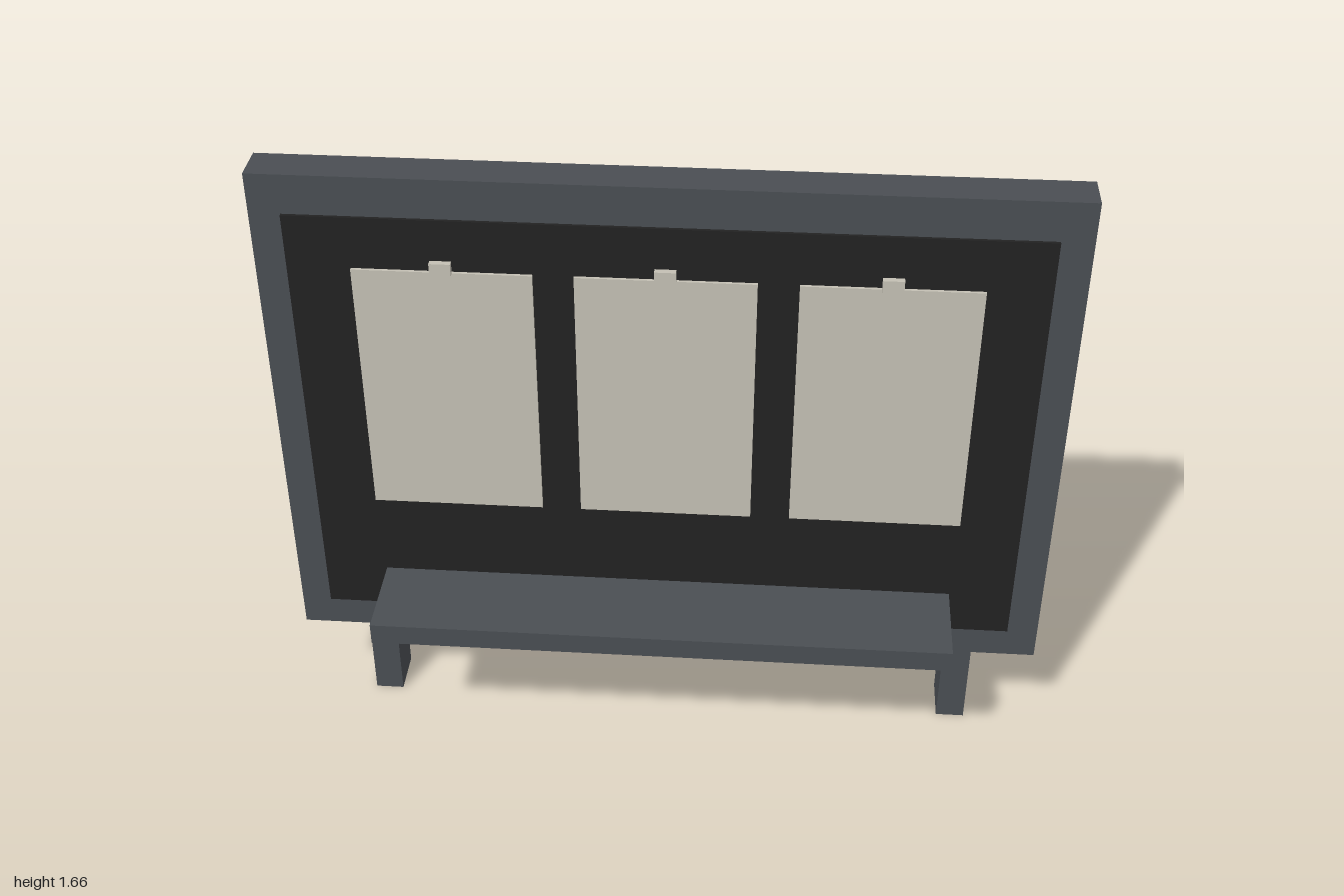
import * as THREE from 'three';

export function createModel() {
  const model = new THREE.Group();
  model.name = 'noticeBoard';

  const material = (name, color) => {
    const m = new THREE.MeshStandardMaterial({ color });
    m.name = name;
    return m;
  };
  const frameGrey = material('frameGrey', 0x4a4e53);
  const boardBlack = material('boardBlack', 0x222222);
  const paperCream = material('paperCream', 0xc4c0b4);

  // Box given by its lower and upper limits on each axis
  const addBox = (name, mat, [x0, x1], [y0, y1], [z0, z1]) => {
    const mesh = new THREE.Mesh(new THREE.BoxGeometry(x1 - x0, y1 - y0, z1 - z0), mat);
    mesh.position.set((x0 + x1) / 2, (y0 + y1) / 2, (z0 + z1) / 2);
    mesh.name = name;
    model.add(mesh);
  };

  // Main panel, dark pin board and shelf
  addBox('panel', frameGrey, [-1, 1], [0.285, 1.66], [-0.147, -0.04]);
  addBox('pinBoard', boardBlack, [-0.918, 0.918], [0.38, 1.562], [-0.03, -0.022]);
  addBox('shelf', frameGrey, [-0.752, 0.752], [0.442, 0.5], [-0.025, 0.218]);

  // Square posts behind the panel
  for (const [name, x] of [['leftLeg', 0.8], ['rightLeg', -0.8]]) {
    addBox(name, frameGrey, [x - 0.038, x + 0.038], [0, 0.94], [-0.218, -0.094]);
  }

  // Three sheets, each held by a small clip
  for (const x of [-0.54, 0, 0.54]) {
    addBox('sheet', paperCream, [x - 0.22, x + 0.22], [0.735, 1.427], [-0.02, -0.012]);
    addBox('clip', paperCream, [x - 0.026, x + 0.026], [1.425, 1.457], [-0.016, 0]);
  }

  return model;
}
